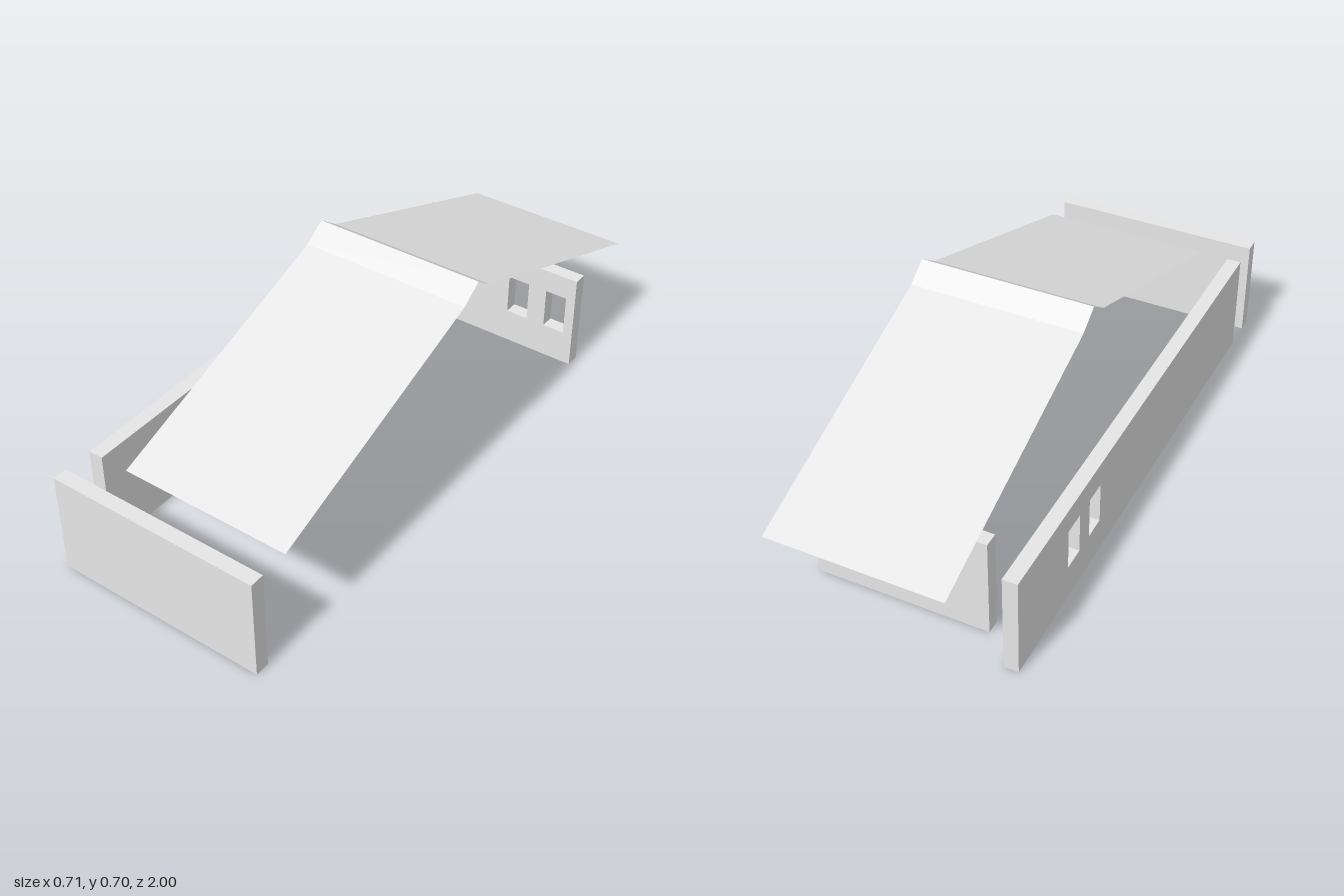
import * as THREE from 'three';

const WALL_HEIGHT = 0.343;
const WALL_DEPTH = 0.048;
const SILL = 0.12;
const LINTEL = 0.262;

// Wall slab from a to b along its length, with rectangular window openings
function wallGeometry(a, b, windows = []) {
  const rect = (Type, x0, y0, x1, y1) => new Type([
    new THREE.Vector2(x0, y0), new THREE.Vector2(x1, y0),
    new THREE.Vector2(x1, y1), new THREE.Vector2(x0, y1),
  ]);
  const shape = rect(THREE.Shape, a, 0, b, WALL_HEIGHT);
  for (const [w0, w1] of windows) shape.holes.push(rect(THREE.Path, w0, SILL, w1, LINTEL));
  return new THREE.ExtrudeGeometry(shape, { depth: WALL_DEPTH, bevelEnabled: false });
}

// Thin folded sheet: a (z, y) profile swept between two x positions
function sheetGeometry(profile, x0, x1) {
  const positions = [];
  for (let i = 0; i < profile.length - 1; i++) {
    const [za, ya] = profile[i];
    const [zb, yb] = profile[i + 1];
    positions.push(x0, ya, za, x1, ya, za, x1, yb, zb);
    positions.push(x0, ya, za, x1, yb, zb, x0, yb, zb);
  }
  const geometry = new THREE.BufferGeometry();
  geometry.setAttribute('position', new THREE.Float32BufferAttribute(positions, 3));
  geometry.computeVertexNormals();
  return geometry;
}

export function createModel() {
  const group = new THREE.Group();
  group.name = 'house';
  const plaster = new THREE.MeshStandardMaterial({ color: 0xe6e6e6, side: THREE.DoubleSide, flatShading: true });
  plaster.name = 'palePlaster';

  const add = (name, geometry) => {
    const mesh = new THREE.Mesh(geometry, plaster);
    mesh.name = name;
    group.add(mesh);
  };

  // Solid front wall
  add('frontWall', wallGeometry(-0.357, 0.357).translate(0, 0, 1 - WALL_DEPTH));

  // Back wall with two windows
  add('backWall', wallGeometry(-0.215, 0.357, [[0.101, 0.179], [0.246, 0.323]]).translate(0, 0, -0.76));

  // Long side wall with two windows, turned to run along z
  add('sideWall', wallGeometry(-0.857, 0.857, [[-0.537, -0.459], [-0.392, -0.315]])
    .rotateY(-Math.PI / 2).translate(-0.357 + WALL_DEPTH, 0, 0));

  // Gabled roof sheet, steeper next to the ridge
  add('roof', sheetGeometry(
    [[0.857, 0.343], [0, 0.652], [-0.072, 0.702], [-0.143, 0.652], [-1, 0.343]], -0.215, 0.357));

  return group;
}
